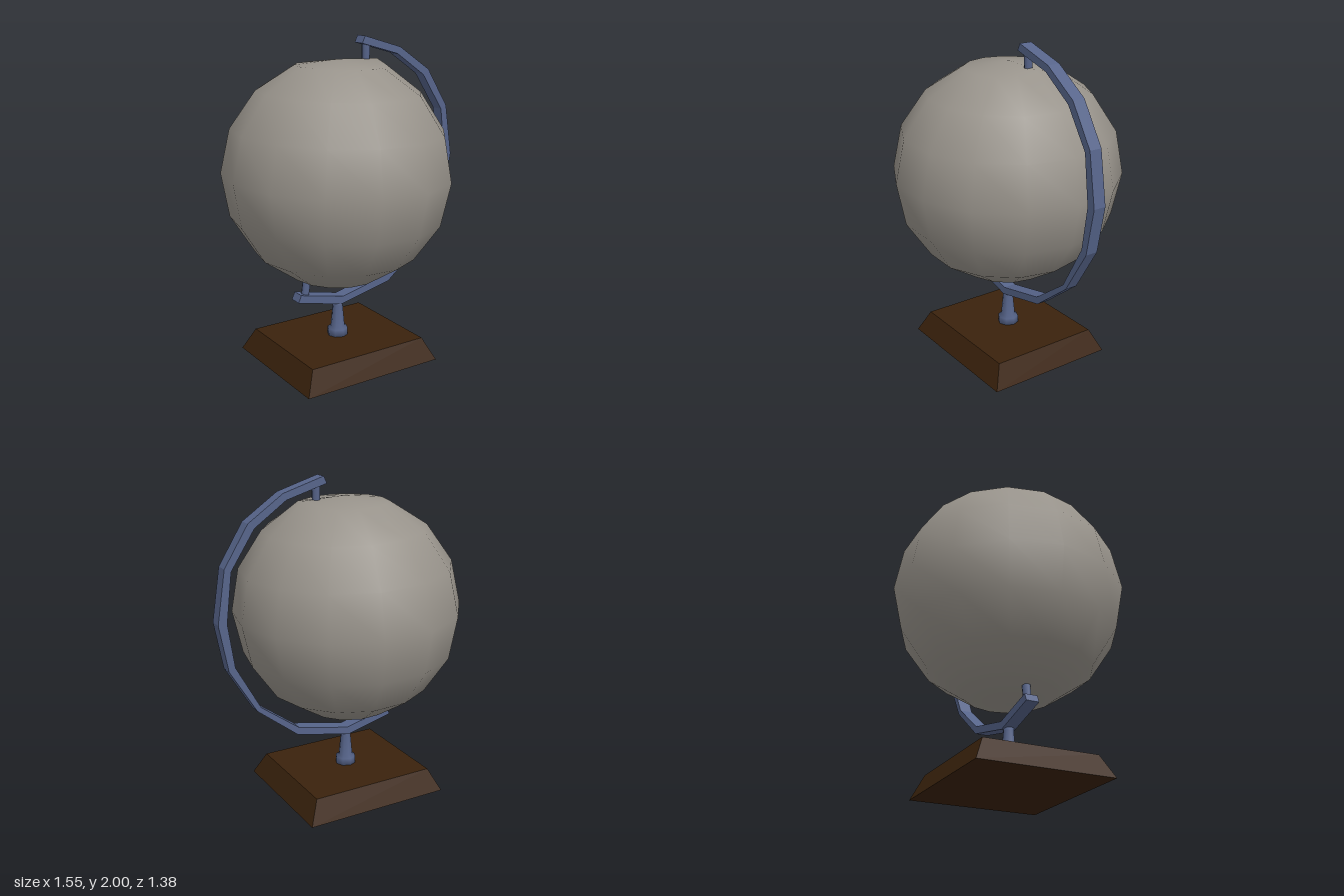
import * as THREE from 'three';

const CX = -0.085; // x of the globe, post and base

export function createModel() {
  const group = new THREE.Group();
  const globeGrey = new THREE.MeshStandardMaterial({ color: 0x98938b });
  globeGrey.name = 'globeGrey';
  const metalBlue = new THREE.MeshStandardMaterial({ color: 0x56648a });
  metalBlue.name = 'metalBlue';
  const darkWood = new THREE.MeshStandardMaterial({ color: 0x3a220c });
  darkWood.name = 'darkWood';

  const add = (name, geometry, material, x = 0, y = 0, z = 0) => {
    const mesh = new THREE.Mesh(geometry, material);
    mesh.name = name;
    mesh.position.set(x, y, z);
    group.add(mesh);
    return mesh;
  };

  // Globe: coarse smooth ball, drawn up slightly where the upper pin enters
  const ball = new THREE.SphereGeometry(0.695, 14, 8);
  const p = ball.attributes.position;
  const pin = new THREE.Vector3(0.24, 0.645, 0);
  const v = new THREE.Vector3();
  for (let i = 0; i < p.count; i++) {
    v.fromBufferAttribute(p, i);
    const lift = 0.04 * Math.max(0, 1 - v.distanceTo(pin) / 0.2);
    const flat = v.y > 0.69 ? 0.015 : 0;
    p.setXYZ(i, v.x, v.y + lift - flat, v.z * 1.015);
  }
  add('globe', ball, globeGrey, CX, 1.19).rotation.z = -0.03;

  // Meridian arm: faceted curved bar
  const outer = [[0.09, 1.998], [0.35, 1.92], [0.57, 1.77], [0.72, 1.53], [0.77, 1.21],
    [0.715, 0.92], [0.545, 0.64], [0.28, 0.43], [-0.08, 0.35], [-0.39, 0.425]];
  const inner = [[0.07, 1.955], [0.33, 1.88], [0.53, 1.74], [0.68, 1.51], [0.715, 1.21],
    [0.675, 0.94], [0.52, 0.66], [0.27, 0.475], [-0.07, 0.4], [-0.37, 0.47]];
  const outline = [...outer, ...inner.reverse()].map(([x, y]) => new THREE.Vector2(x, y));
  const arm = new THREE.ExtrudeGeometry(new THREE.Shape(outline), { depth: 0.08, bevelEnabled: false });
  add('meridianArm', arm, metalBlue, 0, 0, -0.042);

  // Pins holding the globe
  const pinShape = new THREE.CylinderGeometry(0.026, 0.024, 0.14, 8);
  add('upperPin', pinShape, metalBlue, 0.12, 1.895);
  add('lowerPin', pinShape, metalBlue, -0.315, 0.5).rotation.z = -0.15;

  // Post with a flared collar
  const profile = [[0, 0.13], [0.065, 0.13], [0.065, 0.185], [0.045, 0.2], [0.032, 0.34], [0.034, 0.37], [0, 0.37]];
  const post = new THREE.LatheGeometry(profile.map(([r, y]) => new THREE.Vector2(r, y)), 8);
  add('post', post, metalBlue, CX);

  // Base: block tapering towards the top
  const block = new THREE.BoxGeometry(0.935, 0.14, 0.83);
  const b = block.attributes.position;
  for (let i = 0; i < b.count; i++) {
    if (b.getY(i) > 0) b.setXYZ(i, b.getX(i) * 0.856, b.getY(i), b.getZ(i) * 0.843);
  }
  block.computeVertexNormals();
  add('base', block, darkWood, CX, 0.07);

  return group;
}
